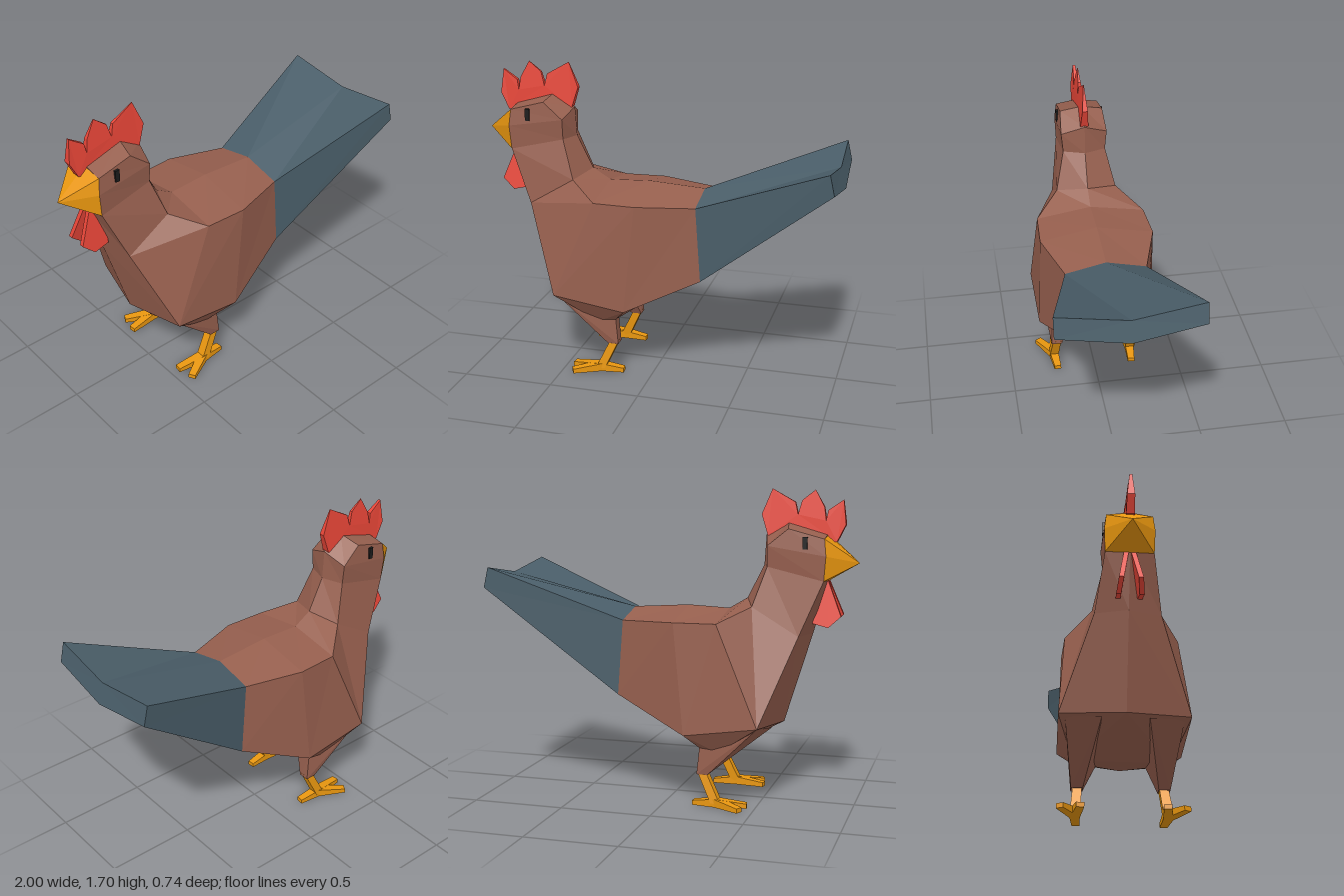
import * as THREE from 'three';
import { ConvexGeometry } from 'three/addons/geometries/ConvexGeometry.js';

const paint = (color, side = THREE.FrontSide) =>
  new THREE.MeshStandardMaterial({ color, flatShading: true, side });
const brown = paint(0x965f4e), slate = paint(0x4a5e69), orange = paint(0xe8960f);
const red = paint(0xe64537, THREE.DoubleSide), black = paint(0x1c1c1c);

// Section: [top x,y, upper side x,y,z, lower side x,y,z, bottom x,y], mirrored in z
function loft(sections) {
  const rings = sections.map(([tx, ty, ux, uy, uz, lx, ly, lz, bx, by]) => [
    [tx, ty, 0], [ux, uy, uz], [lx, ly, lz], [bx, by, 0], [lx, ly, -lz], [ux, uy, -uz],
  ]);
  const n = 6, last = (rings.length - 1) * n, index = [];
  for (let i = 0; i < rings.length - 1; i++) {
    for (let j = 0; j < n; j++) {
      const a = i * n + j, b = i * n + (j + 1) % n, c = b + n, d = a + n;
      index.push(a, d, c, a, c, b);
    }
  }
  for (let j = 1; j < n - 1; j++) {
    index.push(0, j, j + 1);
    index.push(last, last + j + 1, last + j);
  }
  const g = new THREE.BufferGeometry();
  g.setAttribute('position', new THREE.Float32BufferAttribute(rings.flat(2), 3));
  g.setIndex(index);
  const flat = g.toNonIndexed();
  flat.computeVertexNormals();
  return flat;
}

const hull = (points) => new ConvexGeometry(points.map((p) => new THREE.Vector3(...p)));
const bothSides = (points) => points.flatMap(([x, y, z]) => (z ? [[x, y, z], [x, y, -z]] : [[x, y, z]]));

// Thin plate cut from an outline, z running -0.5..0.5 before shaping
function plate(outline, shapeZ) {
  const shape = new THREE.Shape(outline.map(([x, y]) => new THREE.Vector2(x, y)));
  const g = new THREE.ExtrudeGeometry(shape, { depth: 1, bevelEnabled: false }).translate(0, 0, -0.5);
  const p = g.attributes.position;
  for (let i = 0; i < p.count; i++) p.setZ(i, shapeZ(p.getZ(i), p.getY(i)));
  g.computeVertexNormals();
  return g;
}

// Flat toe that narrows from the foot joint to its tip
function toe([ax, az], [bx, bz]) {
  const len = Math.hypot(bx - ax, bz - az), nx = -(bz - az) / len, nz = (bx - ax) / len;
  const points = [];
  for (const s of [-1, 1]) {
    for (const y of [0, 0.045]) points.push([ax + s * nx * 0.026, y, az + s * nz * 0.026]);
    for (const y of [0, 0.025]) points.push([bx + s * nx * 0.02, y, bz + s * nz * 0.02]);
  }
  return hull(points);
}

const square = (x, y, z, h) =>
  [[-h, -h], [h, -h], [h, h], [-h, h]].map(([dx, dz]) => [x + dx, y, z + dz]);

export function createModel() {
  const model = new THREE.Group();
  model.name = 'rooster';
  const add = (name, geometry, material, parent = model) => {
    const mesh = new THREE.Mesh(geometry, material);
    mesh.name = name;
    parent.add(mesh);
    return mesh;
  };

  // Body, neck and head, from tail root to crown
  const tailRoot = [0.24, 1.04, 0.24, 0.99, 0.22, 0.27, 0.58, 0.22, 0.27, 0.56];
  add('body', loft([
    tailRoot,
    [-0.07, 1.06, -0.07, 1.0, 0.315, -0.13, 0.40, 0.33, -0.13, 0.315],
    [-0.30, 1.05, -0.30, 1.0, 0.305, -0.53, 0.46, 0.335, -0.61, 0.44],
    [-0.40, 1.11, -0.46, 1.08, 0.17, -0.71, 0.93, 0.17, -0.76, 0.93],
    [-0.49, 1.29, -0.53, 1.29, 0.12, -0.83, 1.22, 0.125, -0.84, 1.22],
    [-0.50, 1.45, -0.53, 1.40, 0.13, -0.84, 1.35, 0.13, -0.845, 1.35],
    [-0.62, 1.52, -0.64, 1.49, 0.12, -0.83, 1.44, 0.12, -0.83, 1.46],
  ]), brown);

  // Tail fan
  add('tail', loft([
    [0.97, 1.215, 0.96, 1.27, 0.37, 0.985, 1.16, 0.37, 1.0, 1.10],
    tailRoot,
  ]), slate);

  // Underside between the thighs
  add('belly', hull(bothSides([
    [-0.53, 0.46, 0.335], [-0.61, 0.44, 0], [-0.13, 0.40, 0.33], [-0.13, 0.315, 0],
    [-0.30, 0.30, 0.25], [-0.20, 0.32, 0.25], [-0.22, 0.30, 0.13],
  ])), brown);

  // Beak
  add('beak', hull(bothSides([
    [-1, 1.31, 0], [-0.83, 1.455, 0], [-0.83, 1.44, 0.12],
    [-0.84, 1.35, 0.13], [-0.83, 1.22, 0.125], [-0.84, 1.215, 0],
  ])), orange);

  // Comb, thinning towards its points
  add('comb', plate([
    [-0.83, 1.42], [-0.88, 1.42], [-0.925, 1.51], [-0.91, 1.64], [-0.83, 1.585], [-0.82, 1.53],
    [-0.81, 1.60], [-0.76, 1.69], [-0.69, 1.635], [-0.67, 1.56], [-0.655, 1.625],
    [-0.53, 1.695], [-0.475, 1.56], [-0.51, 1.45], [-0.60, 1.42],
  ], (z, y) => z * 0.045 * Math.min(1, (1.71 - y) / 0.22)), red);

  for (const s of [1, -1]) {
    const side = s > 0 ? 'left' : 'right';
    const at = (points) => points.map(([x, y, z]) => [x, y, z * s]);

    // Wattle lobe, splayed outwards at the bottom
    add(side + 'Wattle', plate(
      [[-0.83, 1.24], [-0.915, 1.03], [-0.85, 0.97], [-0.765, 0.99], [-0.77, 1.18]],
      (z, y) => s * (0.015 + (1.24 - y) * 0.16) + z * 0.025,
    ), red);

    add(side + 'Eye', new THREE.BoxGeometry(0.025, 0.065, 0.03), black)
      .position.set(-0.73, 1.417, s * 0.12);

    // Leg
    const leg = new THREE.Group();
    leg.name = side + 'Leg';
    model.add(leg);
    add('thigh', hull(at([
      [-0.52, 0.45, 0.30], [-0.57, 0.43, 0.12], [-0.20, 0.33, 0.25], [-0.22, 0.30, 0.13],
      [-0.30, 0.30, 0.255], ...square(-0.215, 0.175, 0.225, 0.03),
    ])), brown, leg);
    add('shank', hull(at([
      ...square(-0.21, 0.19, 0.222, 0.024), ...square(-0.29, 0.02, 0.235, 0.026),
    ])), orange, leg);
    const ends = { innerToe: [-0.455, 0.215], outerToe: [-0.435, 0.315], backToe: [-0.16, 0.225] };
    for (const [name, [x, z]] of Object.entries(ends)) {
      add(name, toe([-0.29, 0.235 * s], [x, z * s]), orange, leg);
    }
  }
  return model;
}
